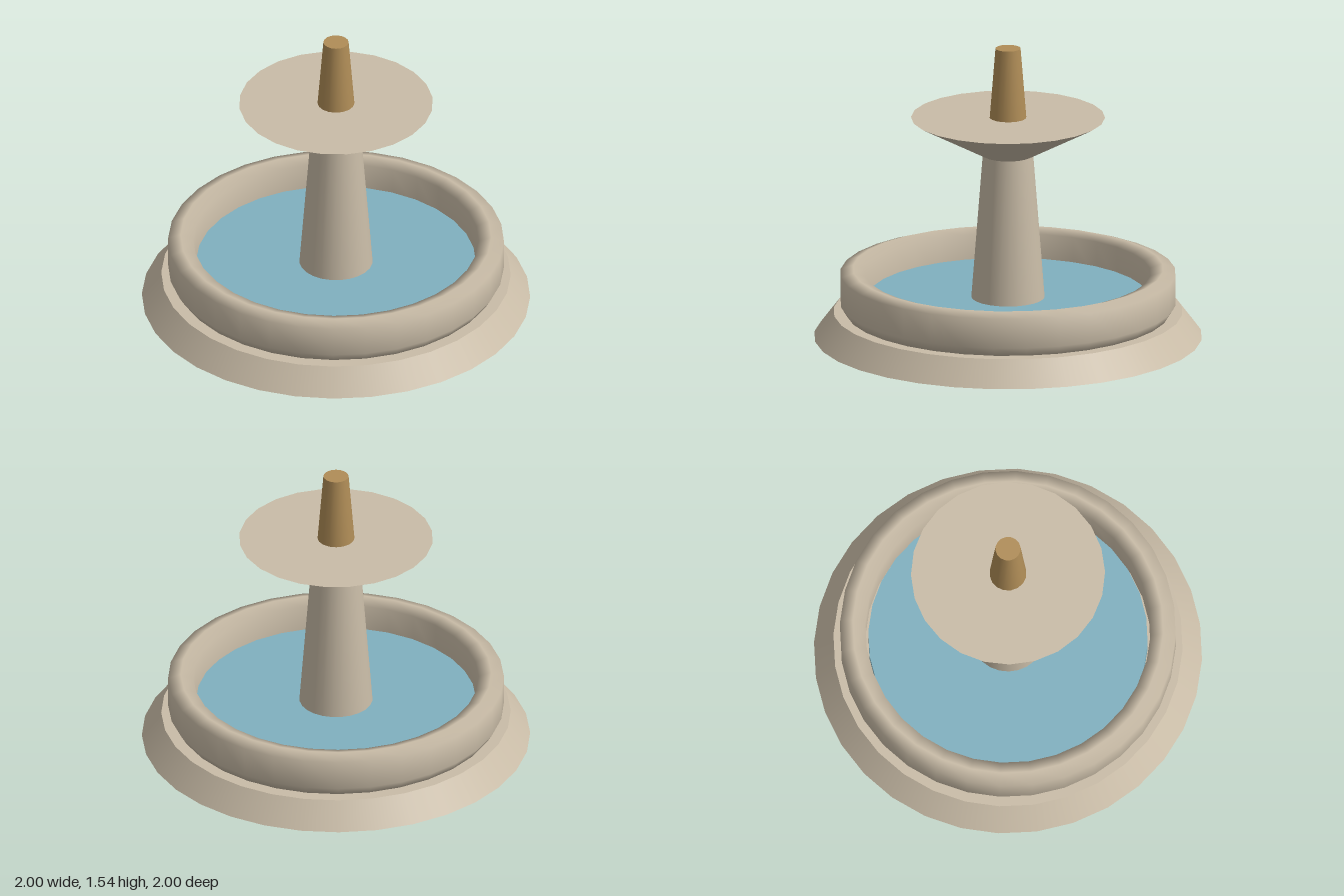
import * as THREE from 'three';

export function createModel() {
  const fountain = new THREE.Group();
  fountain.name = 'fountain';

  const material = (name, color) => {
    const m = new THREE.MeshStandardMaterial({ color });
    m.name = name;
    return m;
  };
  const stone = material('stone', 0xc9bca7);
  const water = material('water', 0x80b0bf);
  const bronze = material('bronze', 0xb08d57);

  const add = (name, geometry, mat) => {
    const mesh = new THREE.Mesh(geometry, mat);
    mesh.name = name;
    fountain.add(mesh);
    return mesh;
  };

  // Tapered round part standing between two heights
  const taper = (name, mat, rBottom, rTop, y0, y1, sides) => {
    const geometry = new THREE.CylinderGeometry(rTop, rBottom, y1 - y0, sides);
    geometry.translate(0, (y0 + y1) / 2, 0);
    return add(name, geometry, mat);
  };

  taper('base', stone, 1, 0.9, 0, 0.132, 32);

  // Rounded basin wall, open in the middle
  const wall = [
    [0.735, 0.13], [0.835, 0.13], [0.865, 0.18], [0.865, 0.337],
    [0.8, 0.36], [0.735, 0.337], [0.735, 0.13],
  ].map(([r, y]) => new THREE.Vector2(r, y));
  add('basinWall', new THREE.LatheGeometry(wall, 32), stone);

  taper('water', water, 0.72, 0.72, 0.13, 0.21, 32);
  taper('column', stone, 0.195, 0.13, 0.13, 0.97, 24);
  taper('upperBowl', stone, 0.13, 0.5, 0.97, 1.17, 24);
  taper('spout', bronze, 0.095, 0.065, 1.17, 1.54, 16);

  return fountain;
}
